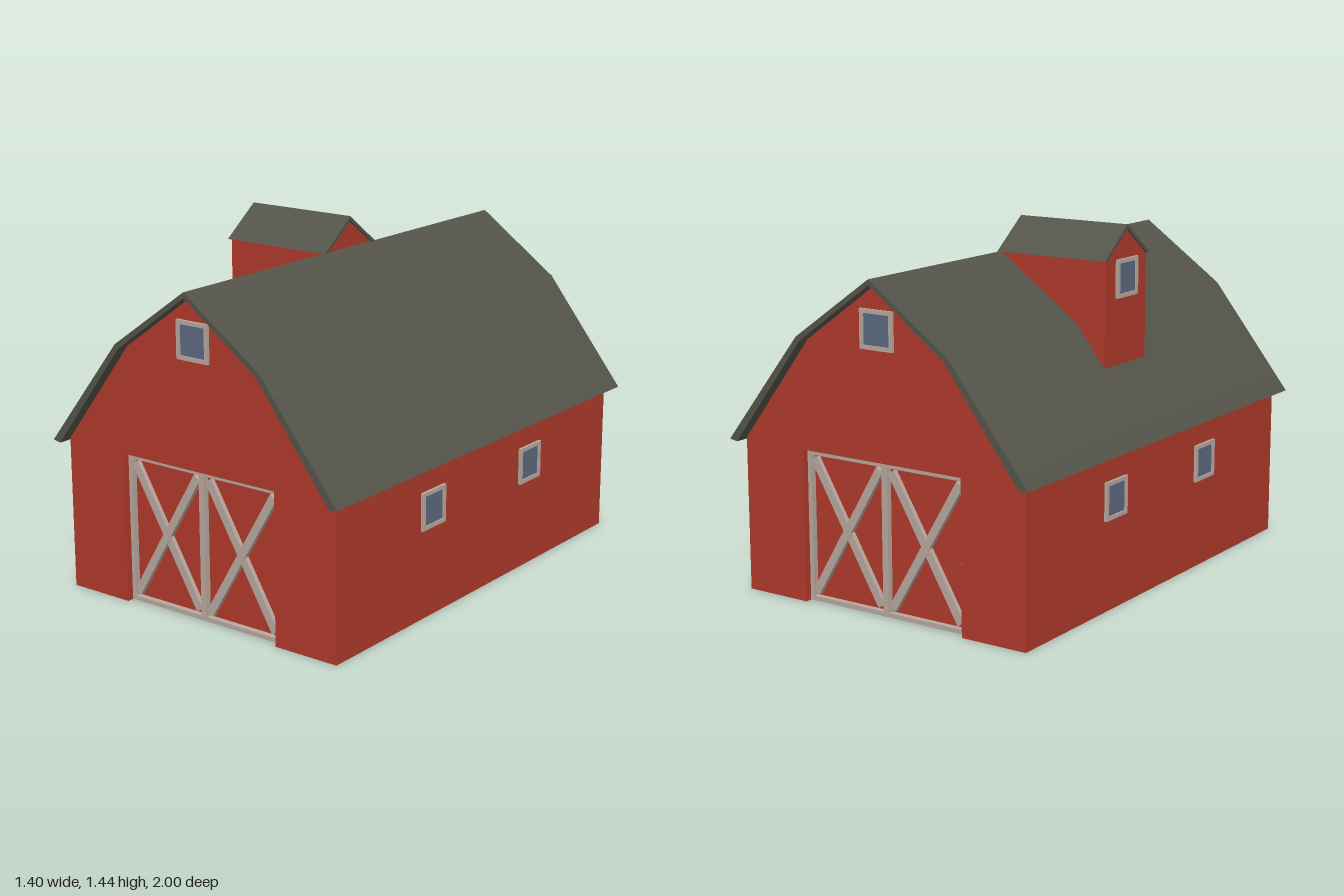
import * as THREE from 'three';
import { toCreasedNormals } from 'three/addons/utils/BufferGeometryUtils.js';

const material = (name, color) => {
  const m = new THREE.MeshStandardMaterial({ color });
  m.name = name;
  return m;
};

export function createModel() {
  const red = material('barn red', 0xb03a2b);
  const roofing = material('roof slate', 0x54544a);
  const trim = material('trim grey', 0xb8a89f);
  const glass = material('window glass', 0x5d6a80);
  const barn = new THREE.Group();
  barn.name = 'barn';

  const add = (parent, name, geometry, mat, x = 0, y = 0, z = 0) => {
    const mesh = new THREE.Mesh(geometry, mat);
    mesh.name = name;
    mesh.position.set(x, y, z);
    parent.add(mesh);
    return mesh;
  };
  const shapeOf = (points) => new THREE.Shape(points.map(([x, y]) => new THREE.Vector2(x, y)));
  // Extrusion centred on z = 0; shallow bends stay smooth
  const extrude = (shape, depth) => {
    const g = new THREE.ExtrudeGeometry(shape, { depth, bevelEnabled: false });
    g.translate(0, 0, -depth / 2);
    return toCreasedNormals(g, 0.5);
  };
  // Closes a right-hand profile, running from the outside in to the centre line
  const mirrored = (half) => [
    ...half,
    ...half.filter(([x]) => x > 0).reverse().map(([x, y]) => [-x, y]),
  ];

  const W = 0.658, DOOR_W = 0.373, DOOR_H = 0.61, WALL_Z = 0.95, RECESS = 0.05;

  // Main body, and end walls with a doorway cut out
  const gable = [[W, 0.62], [0.338, 1.05], [0, 1.292]];
  add(barn, 'barnBody', extrude(shapeOf(mirrored([[W, 0], ...gable])), 2 * (WALL_Z - RECESS)), red);
  const doorway = shapeOf([
    [DOOR_W, 0], ...mirrored([[W, 0], ...gable]), [-DOOR_W, 0], [-DOOR_W, DOOR_H], [DOOR_W, DOOR_H],
  ]);
  for (const s of [1, -1]) {
    add(barn, s > 0 ? 'frontWall' : 'backWall', extrude(doorway, RECESS), red, 0, 0, s * (WALL_Z - RECESS / 2));
  }

  // Gambrel roof shell
  const roofOuter = [[0.7, 0.618], [0.352, 1.06], [0, 1.31]];
  const roofInner = [[0.664, 0.612], [0.335, 1.045], [0, 1.287]];
  const shell = (outer, inner) => shapeOf([...mirrored(outer), ...mirrored(inner).reverse()]);
  add(barn, 'roof', extrude(shell(roofOuter, roofInner), 2), roofing);

  // Framed square window facing +z, its back at z = 0
  const makeWindow = (name) => {
    const group = new THREE.Group();
    group.name = name;
    const square = (r) => [[-r, -r], [r, -r], [r, r], [-r, r]];
    const frame = shapeOf(square(0.076));
    frame.holes.push(shapeOf(square(0.06)));
    add(group, 'windowFrame', extrude(frame, 0.014), trim, 0, 0, 0.005);
    add(group, 'windowPane', new THREE.BoxGeometry(0.122, 0.122, 0.006), glass, 0, 0, 0.003);
    return group;
  };
  const placeWindow = (name, x, y, z, turn) => {
    const w = makeWindow(name);
    w.position.set(x, y, z);
    w.rotation.y = turn;
    barn.add(w);
  };
  for (const s of [1, -1]) {
    placeWindow('gableWindow', 0, 1.115, s * WALL_Z, s > 0 ? 0 : Math.PI);
    for (const z of [0.345, -0.345]) placeWindow('sideWindow', s * W, 0.44, z, s * Math.PI / 2);
  }

  // Double doors with cross bracing, in both recesses
  const makeDoors = (name) => {
    const doors = new THREE.Group();
    doors.name = name;
    const T = 0.024;
    const beam = (part, w, h, x, y, turn = 0, t = T) => {
      add(doors, part, new THREE.BoxGeometry(w, h, t), trim, x, y, t / 2).rotation.z = turn;
    };
    for (const y of [0.011, DOOR_H - 0.013]) beam('doorRail', 2 * DOOR_W, 0.018, 0, y);
    beam('centrePost', 0.027, DOOR_H - 0.02, 0, DOOR_H / 2);
    for (const s of [1, -1]) {
      beam('sidePost', 0.018, DOOR_H - 0.02, s * (DOOR_W - 0.01), DOOR_H / 2);
      for (const d of [1, -1]) {
        const angle = Math.atan2(0.565, 0.335);
        beam('doorBrace', 0.625, 0.034, s * 0.186, DOOR_H / 2, d * angle, d > 0 ? 0.02 : 0.018);
      }
    }
    return doors;
  };
  for (const s of [1, -1]) {
    const doors = makeDoors(s > 0 ? 'frontDoors' : 'backDoors');
    doors.position.z = s * (WALL_Z - RECESS);
    doors.rotation.y = s > 0 ? 0 : Math.PI;
    barn.add(doors);
  }

  // Dormer on the right slope, its gable facing outward
  const dormer = new THREE.Group();
  dormer.name = 'dormer';
  dormer.rotation.y = -Math.PI / 2;
  const dormerWall = shapeOf(mirrored([[0.152, 0.8], [0.152, 1.312], [0, 1.424]]));
  add(dormer, 'dormerBody', extrude(dormerWall, 0.487), red, 0, 0, 0.2435);
  const dormerRoof = shell([[0.168, 1.31], [0, 1.437]], [[0.15, 1.307], [0, 1.418]]);
  add(dormer, 'dormerRoof', extrude(dormerRoof, 0.502), roofing, 0, 0, 0.243);
  barn.add(dormer);
  placeWindow('dormerWindow', -0.487, 1.23, 0, -Math.PI / 2);

  return barn;
}
